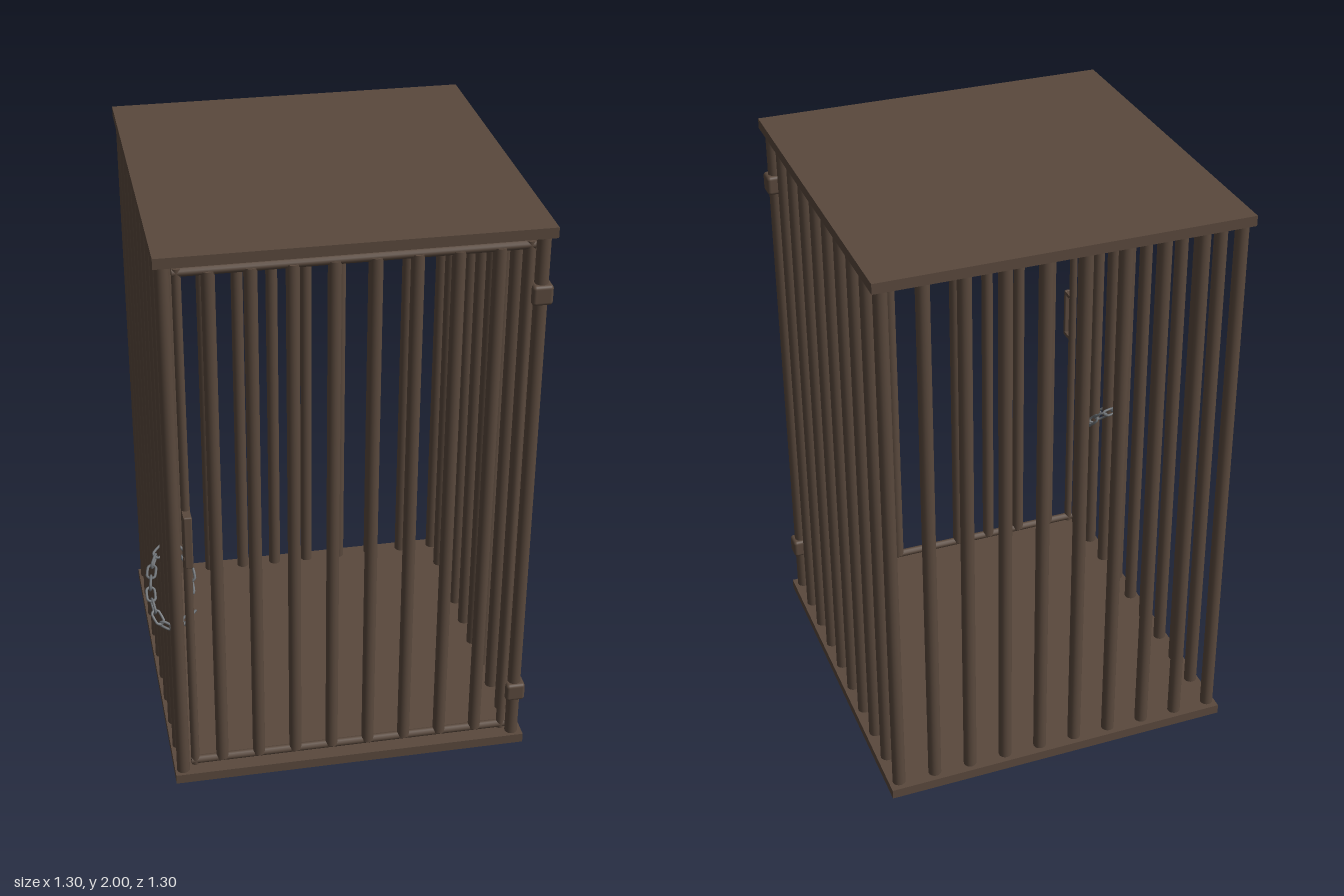
import * as THREE from 'three';
import { RoundedBoxGeometry } from 'three/addons/geometries/RoundedBoxGeometry.js';

const iron = new THREE.MeshStandardMaterial({ color: 0x5a493d });
iron.name = 'rusty iron';
const steel = new THREE.MeshStandardMaterial({ color: 0x6c7074 });
steel.name = 'chain steel';

const LEFT = -0.565, RIGHT = 0.61, FRONT = 0.593, BACK = -0.61;
const COUNT = 10;

function add(parent, name, geometry, material, x = 0, y = 0, z = 0) {
  const mesh = new THREE.Mesh(geometry, material);
  mesh.name = name;
  mesh.position.set(x, y, z);
  parent.add(mesh);
  return mesh;
}

function group(parent, name) {
  const g = new THREE.Group();
  g.name = name;
  parent.add(g);
  return g;
}

export function createModel() {
  const model = new THREE.Group();
  model.name = 'cage';

  // Floor and roof plates
  const plate = new THREE.BoxGeometry(1.24, 0.035, 1.275);
  add(model, 'floor', plate, iron, 0.026, 0.0175, -0.0125);
  add(model, 'roof', plate, iron, 0.026, 1.9825, -0.0125);

  // Bars of the two sides and the back, with the corner posts
  const bars = group(model, 'bars');
  const barGeo = new THREE.CylinderGeometry(0.0225, 0.0225, 1.94, 16);
  for (let i = 0; i < COUNT; i++) {
    const t = i / (COUNT - 1);
    const z = THREE.MathUtils.lerp(FRONT, BACK, t);
    add(bars, 'leftBar', barGeo, iron, RIGHT, 1, z);
    add(bars, 'rightBar', barGeo, iron, LEFT, 1, z);
    if (i > 0 && i < COUNT - 1) {
      add(bars, 'backBar', barGeo, iron, THREE.MathUtils.lerp(LEFT, RIGHT, t), 1, BACK);
    }
  }

  // Door: round frame, bars and handle
  const door = group(model, 'door');
  const x0 = -0.522, x1 = 0.568, y0 = 0.072, y1 = 1.937;
  const upright = new THREE.CylinderGeometry(0.0145, 0.0145, y1 - y0 + 0.028, 12);
  const rail = new THREE.CylinderGeometry(0.0145, 0.0145, x1 - x0 + 0.028, 12);
  rail.rotateZ(Math.PI / 2);
  for (const x of [x0, x1]) add(door, 'doorUpright', upright, iron, x, (y0 + y1) / 2, FRONT);
  for (const y of [y0, y1]) add(door, 'doorRail', rail, iron, (x0 + x1) / 2, y, FRONT);
  const doorBar = new THREE.CylinderGeometry(0.0215, 0.0215, y1 - y0, 16);
  for (let i = 0; i < 8; i++) {
    add(door, 'doorBar', doorBar, iron, 0.0225 + (i - 3.5) * 0.1285, (y0 + y1) / 2, FRONT);
  }

  // Handle: grip with two short arms
  const handle = group(door, 'handle');
  add(handle, 'grip', new RoundedBoxGeometry(0.028, 0.195, 0.014, 2, 0.005), iron, x0, 1.007, 0.643);
  const arm = new THREE.BoxGeometry(0.026, 0.014, 0.044);
  for (const y of [0.918, 1.096]) add(handle, 'handleArm', arm, iron, x0, y, 0.621);

  // Hinges: collars around the left front post
  const hinge = new RoundedBoxGeometry(0.068, 0.068, 0.064, 3, 0.012);
  for (const y of [0.222, 1.77]) add(model, 'hinge', hinge, iron, RIGHT, y, FRONT);

  // Chain looped around the bars beside the door
  const chain = group(model, 'chain');
  const path = new THREE.CatmullRomCurve3([
    [-0.485, 0.63, 0.385], [-0.495, 0.70, 0.325], [-0.545, 0.758, 0.275],
    [-0.60, 0.74, 0.31], [-0.628, 0.70, 0.39], [-0.632, 0.66, 0.455],
    [-0.612, 0.615, 0.51], [-0.56, 0.572, 0.502], [-0.485, 0.54, 0.38]
  ].map(p => new THREE.Vector3(...p)));

  // One link is a ring stretched along x
  const link = new THREE.TorusGeometry(0.0145, 0.0046, 8, 20);
  const pos = link.attributes.position;
  for (let i = 0; i < pos.count; i++) {
    const x = pos.getX(i);
    if (Math.abs(x) > 1e-4) pos.setX(i, x + Math.sign(x) * 0.011);
  }
  const links = Math.round(path.getLength() / 0.042);
  const xAxis = new THREE.Vector3(1, 0, 0);
  for (let i = 0; i < links; i++) {
    const t = (i + 0.5) / links;
    const p = path.getPointAt(t);
    const mesh = add(chain, 'chainLink', link, steel, p.x, p.y, p.z);
    mesh.quaternion.setFromUnitVectors(xAxis, path.getTangentAt(t));
    mesh.rotateX((i % 2) * Math.PI / 2 + 0.5);
  }

  return model;
}
